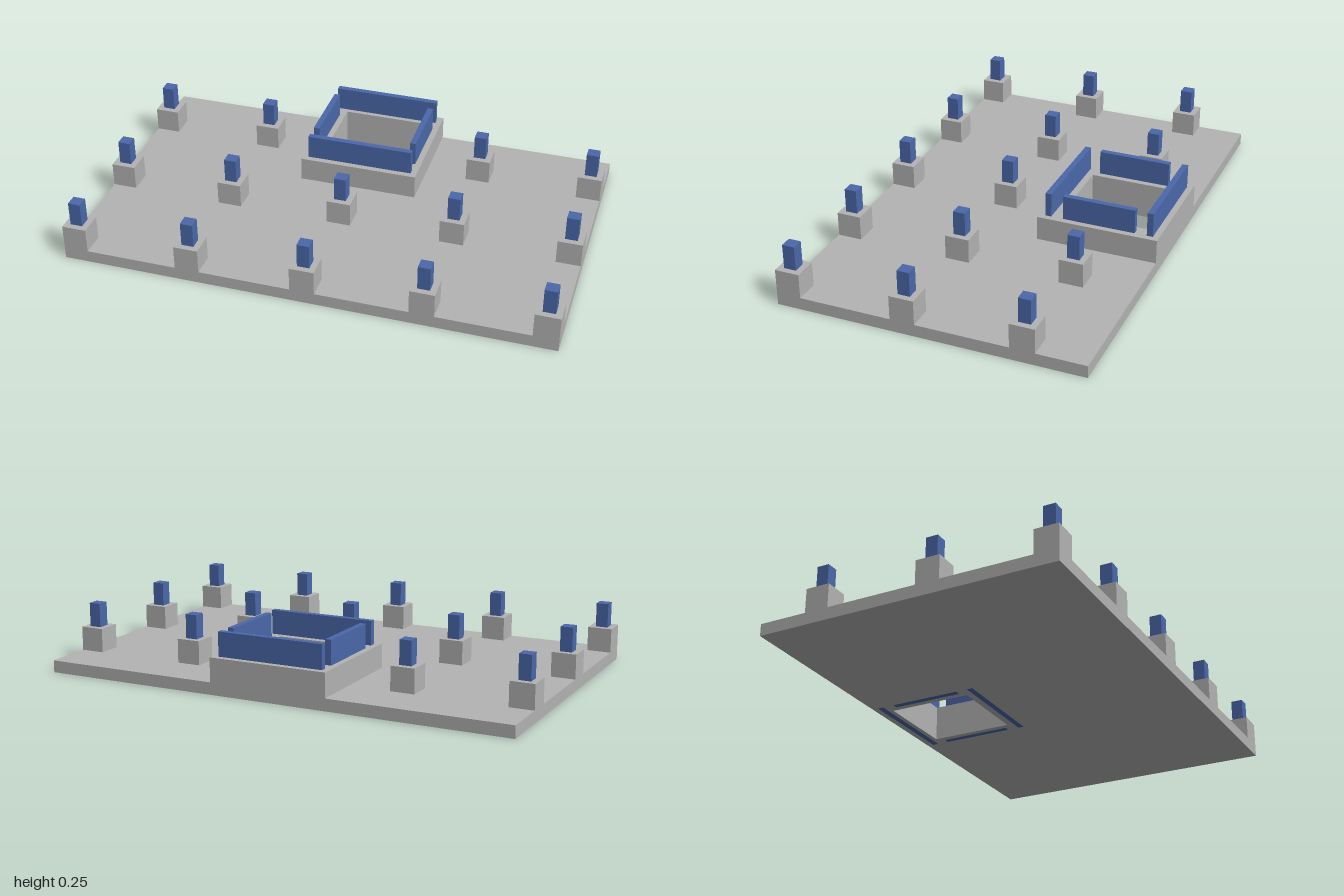
import * as THREE from 'three';

const concrete = new THREE.MeshStandardMaterial({ color: 0xb3b3b3 });
concrete.name = 'concrete grey';
const wallBlue = new THREE.MeshStandardMaterial({ color: 0x4a68aa });
wallBlue.name = 'wall blue';

// Rectangles on plan: [x0, x1, z0, z1]
const SHAFT = [-0.175, 0.175, -0.555, -0.203];
const WALLS = {
  shaftWallFront: [-0.225, 0.225, -0.175, -0.15],
  shaftWallBack: [-0.225, 0.225, -0.6, -0.575],
  shaftWallLeft: [0.2, 0.225, -0.525, -0.225],
  shaftWallRight: [-0.225, -0.2, -0.525, -0.225],
};

function outline([x0, x1, z0, z1], path) {
  path.moveTo(x0, -z1);
  path.lineTo(x1, -z1);
  path.lineTo(x1, -z0);
  path.lineTo(x0, -z0);
  path.closePath();
  return path;
}

// Horizontal plate with rectangular openings, from y0 to y1
function plate(name, rect, openings, y0, y1) {
  const shape = outline(rect, new THREE.Shape());
  shape.holes = openings.map((r) => outline(r, new THREE.Path()));
  const geo = new THREE.ExtrudeGeometry(shape, { depth: y1 - y0, bevelEnabled: false });
  geo.rotateX(-Math.PI / 2).translate(0, y0, 0);
  const mesh = new THREE.Mesh(geo, concrete);
  mesh.name = name;
  return mesh;
}

function block(name, [x0, x1, z0, z1], y0, y1, material) {
  const mesh = new THREE.Mesh(new THREE.BoxGeometry(x1 - x0, y1 - y0, z1 - z0), material);
  mesh.position.set((x0 + x1) / 2, (y0 + y1) / 2, (z0 + z1) / 2);
  mesh.name = name;
  return mesh;
}

const square = (x, z, half) => [x - half, x + half, z - half, z + half];

export function createModel() {
  const model = new THREE.Group();
  model.name = 'foundation';

  // Base slab and raised curb, both open for the shaft and its walls
  const openings = [SHAFT, ...Object.values(WALLS)];
  model.add(plate('baseSlab', [-1, 1, -0.625, 0.625], openings, 0, 0.05));
  model.add(plate('shaftCurb', [-0.25, 0.25, -0.625, -0.125], openings, 0.05, 0.15));

  // Shaft walls run through to the underside
  for (const [name, rect] of Object.entries(WALLS)) model.add(block(name, rect, 0, 0.25, wallBlue));

  // Grid of pedestals with column stubs, skipping the shaft position
  for (const z of [-0.375, 0.1, 0.575]) {
    for (const x of [-0.95, -0.475, 0, 0.475, 0.95]) {
      if (x === 0 && z < 0) continue;
      const footing = new THREE.Group();
      footing.name = 'columnFooting';
      footing.add(block('pedestal', square(x, z, 0.05), 0.05, 0.15, concrete));
      footing.add(block('columnStub', square(x, z, 0.025), 0.15, 0.25, wallBlue));
      model.add(footing);
    }
  }
  return model;
}
